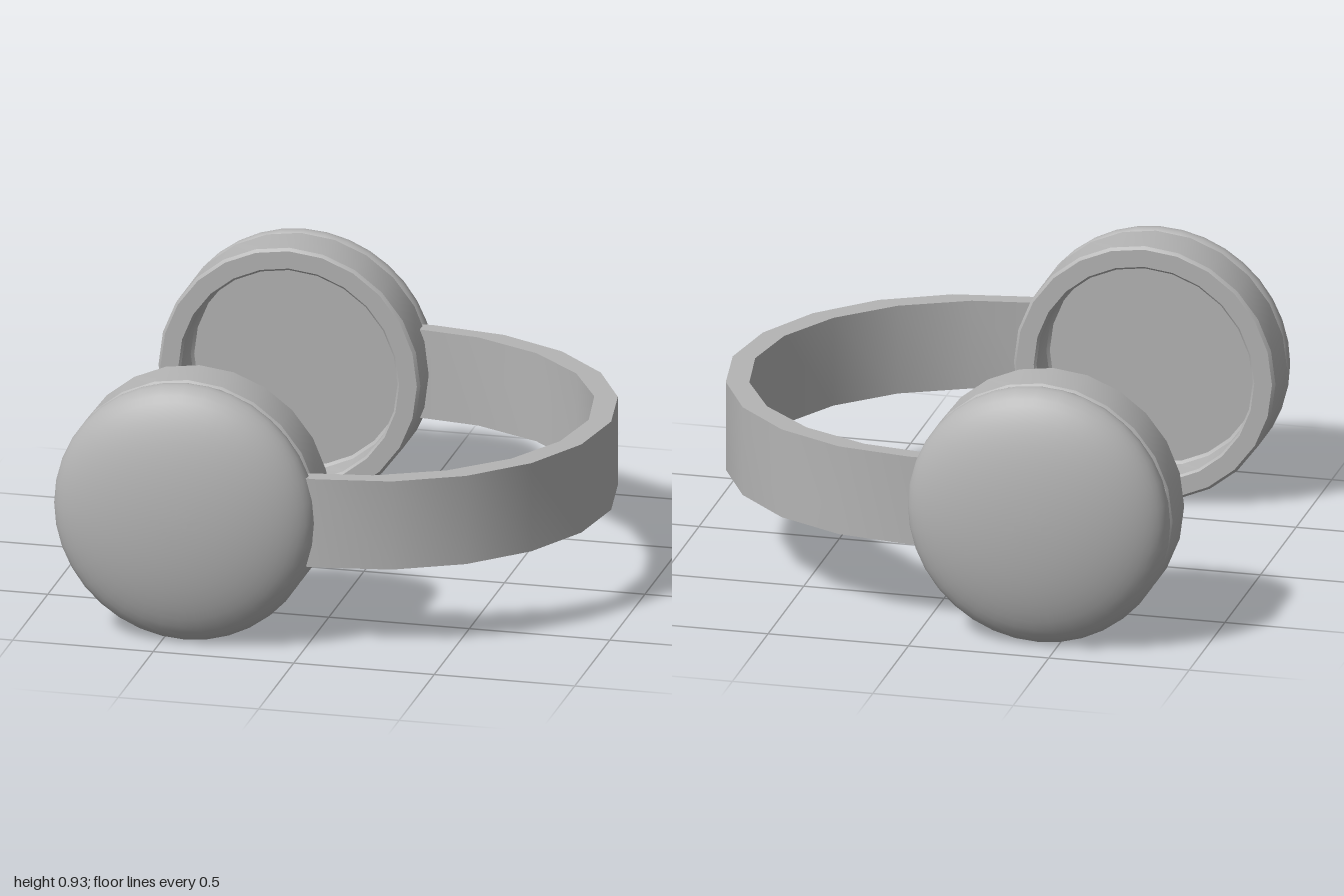
import * as THREE from 'three';
import { toCreasedNormals } from 'three/addons/utils/BufferGeometryUtils.js';

const CUP_X = -0.425, CUP_Y = 0.473, R = 0.466;

export function createModel() {
  const model = new THREE.Group();
  model.name = 'headphones';
  const grey = new THREE.MeshStandardMaterial({ color: 0xb4b4b4 });
  grey.name = 'plain grey';

  // Turn a profile of [radius, z] around the z axis
  const turned = (profile, sides) => {
    const geometry = new THREE.LatheGeometry(profile.map(([r, z]) => new THREE.Vector2(r, z)), sides);
    geometry.rotateX(Math.PI / 2);
    return toCreasedNormals(geometry, 0.6);
  };
  const add = (parent, geometry, name) => {
    const mesh = new THREE.Mesh(geometry, grey);
    mesh.name = name;
    parent.add(mesh);
  };

  // Ear cushion: recessed floor, inner wall, softened rim and outer wall
  const cushion = turned([
    [0, 0.785], [0.375, 0.785], [0.385, 0.775], [0.385, 0.638], [0.393, 0.63],
    [0.456, 0.63], [0.466, 0.64], [0.466, 0.802], [0.458, 0.81], [0.4, 0.81],
  ], 24);

  // Outer shell: short rounded underside, then a shallow elliptical dome
  const shellProfile = [[0.4, 0.805], [0.446, 0.808], [0.457, 0.816], [0.464, 0.828]];
  for (let i = 0; i <= 14; i++) {
    const a = (i / 14) * Math.PI / 2;
    shellProfile.push([i === 14 ? 0 : R * Math.cos(a), 0.84 + 0.16 * Math.sin(a)]);
  }
  const shell = turned(shellProfile, 36);

  for (const [name, turn] of [['frontEarCup', 0], ['backEarCup', Math.PI]]) {
    const cup = new THREE.Group();
    cup.name = name;
    cup.position.set(CUP_X, CUP_Y, 0);
    cup.rotation.y = turn;
    add(cup, cushion, 'earCushion');
    add(cup, shell, 'outerShell');
    model.add(cup);
  }

  // Headband: ten-segment half ring, thicker at the middle, ends sunk in the cups
  const arc = (cx, rx, rz) => Array.from({ length: 11 }, (_, i) => {
    const a = (i / 10 - 0.5) * Math.PI;
    return new THREE.Vector2(cx + rx * Math.cos(a), rz * Math.sin(a) - 0.02);
  });
  const outer = arc(0.045, 0.84, 0.84);
  const inner = arc(-0.035, 0.84, 0.79);
  const shape = new THREE.Shape([
    new THREE.Vector2(-0.03, -0.86), ...outer, new THREE.Vector2(-0.03, 0.82), ...inner.reverse(),
  ]);
  const band = new THREE.ExtrudeGeometry(shape, { depth: 0.322, bevelEnabled: false });
  band.rotateX(-Math.PI / 2);
  band.translate(0, 0.313, 0);
  add(model, toCreasedNormals(band, 0.6), 'headband');

  return model;
}
